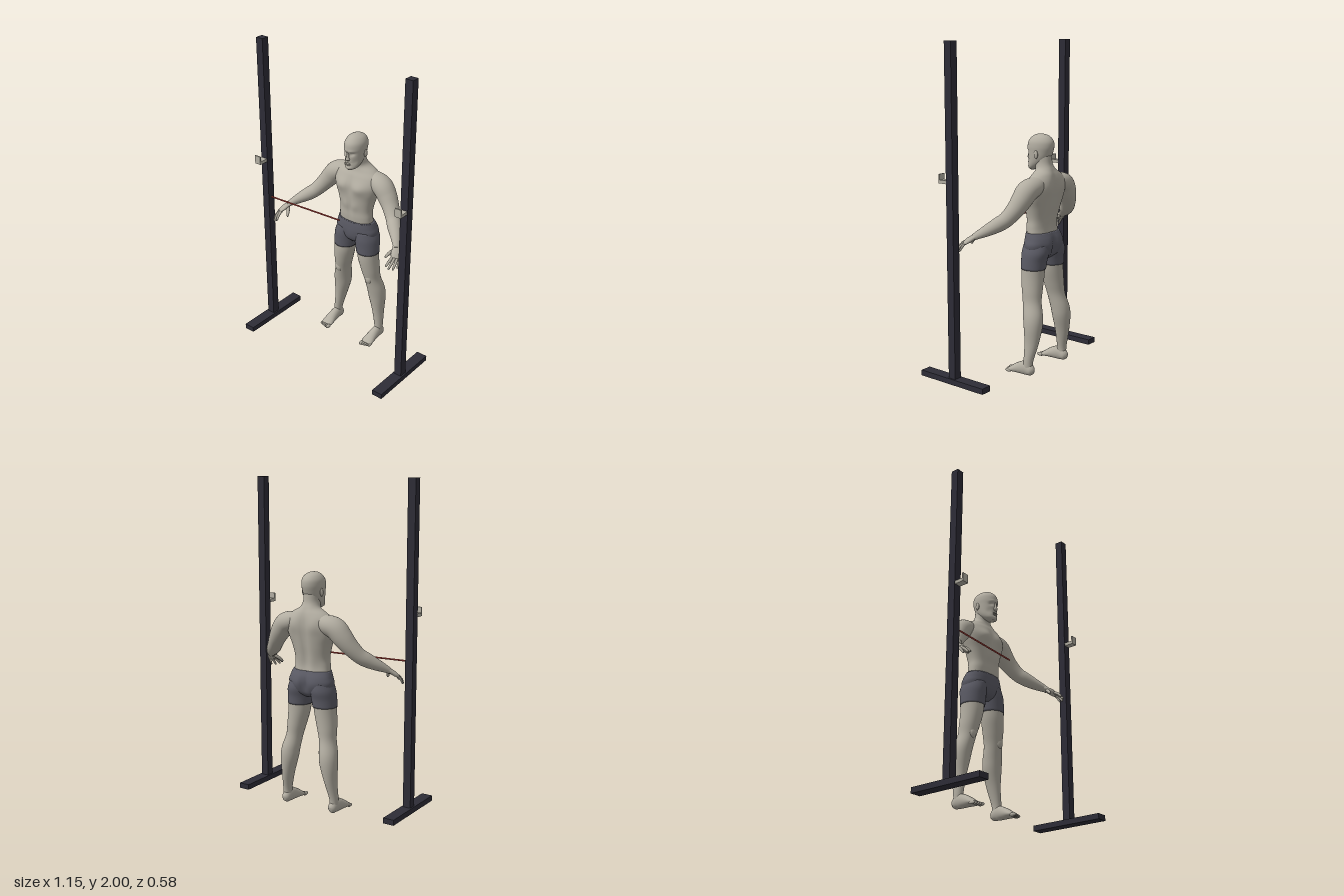
import * as THREE from 'three';

const mat = (name, color) => Object.assign(new THREE.MeshStandardMaterial({ color }), { name });
const V = (x, y, z) => new THREE.Vector3(x, y, z);
const Z = V(0, 0, 1), Y = V(0, 1, 0);

// Smooth skin through sections [x, y, z, radiusU, radiusV, squareness].
// level keeps rings horizontal (sections run upward); otherwise they follow the path.
function loft(sections, { level = false, ref = Z, seg = 24, steps = 5, shape } = {}) {
  const path = new THREE.CatmullRomCurve3(sections.map(s => V(s[0], s[1], s[2])), false, 'catmullrom');
  const size = new THREE.CatmullRomCurve3(sections.map(s => V(s[3], s[4], s[5] ?? 2)), false, 'catmullrom');
  const n = (sections.length - 1) * steps, pos = [], idx = [];
  const pow = (c, e) => Math.sign(c) * Math.abs(c) ** (2 / e);
  for (let i = 0; i <= n; i++) {
    const c = path.getPoint(i / n), r = size.getPoint(i / n);
    const t = level ? Y : path.getTangent(i / n);
    const u = t.clone().cross(ref).normalize(), v = u.clone().cross(t);
    for (let j = 0; j < seg; j++) {
      const a = j / seg * Math.PI * 2;
      const p = c.clone().addScaledVector(u, r.x * pow(Math.cos(a), r.z))
        .addScaledVector(v, r.y * pow(Math.sin(a), r.z));
      if (shape) shape(p, Math.sin(a));
      pos.push(p.x, p.y, p.z);
      if (i < n) {
        const k = i * seg + j, m = i * seg + (j + 1) % seg;
        idx.push(k, k + seg, m, m, k + seg, m + seg);
      }
    }
  }
  // end caps
  const a = path.getPoint(0), b = path.getPoint(1), A = pos.length / 3;
  pos.push(...a.toArray(), ...b.toArray());
  for (let j = 0; j < seg; j++) {
    const k = (j + 1) % seg;
    idx.push(A, j, k, A + 1, n * seg + k, n * seg + j);
  }
  const g = new THREE.BufferGeometry();
  g.setAttribute('position', new THREE.Float32BufferAttribute(pos, 3));
  g.setIndex(idx);
  g.computeVertexNormals();
  return g;
}

// Soft mirrored dents and swellings: [x, y, widthX, widthY, depth, side]
const sculpt = marks => (p, facing) => {
  const { x, y } = p;
  for (const [mx, my, wx, wy, d, side] of marks)
    p.z += side * d * Math.max(0, facing * side) *
      Math.exp(-(((Math.abs(x) - mx) / wx) ** 2) - ((y - my) / wy) ** 2);
};

// Level section from front and back depth
const slab = (y, rx, front, back, sq) => [0, y, (front + back) / 2, rx, (front - back) / 2, sq];

export function createModel() {
  const skin = mat('skin', 0xb2ada1), cloth = mat('shorts fabric', 0x5a5a64);
  const steel = mat('dark steel', 0x2e2d37), pad = mat('hook metal', 0xb4b0a4);
  const red = mat('red band', 0xb5443c);
  const root = new THREE.Group(), body = new THREE.Group(), rack = new THREE.Group();
  body.name = 'athlete';
  rack.name = 'rack';
  root.add(body, rack);

  const add = (parent, name, geo, material, x = 0, y = 0, z = 0) => {
    const m = new THREE.Mesh(geo, material);
    m.name = name;
    m.position.set(x, y, z);
    parent.add(m);
    return m;
  };
  const blob = (name, x, y, z, rx, ry, rz) =>
    add(body, name, new THREE.SphereGeometry(1, 16, 12), skin, x, y, z).scale.set(rx, ry, rz);

  // Torso and neck
  add(body, 'torso', loft([
    slab(0.85, 0.12, -0.122, -0.255, 2.3), slab(0.90, 0.117, -0.117, -0.25, 2.3),
    slab(0.95, 0.115, -0.116, -0.256, 2.3), slab(1.02, 0.131, -0.11, -0.272, 2.3),
    slab(1.08, 0.152, -0.108, -0.282, 2.4), slab(1.13, 0.162, -0.112, -0.287, 2.4),
    slab(1.18, 0.155, -0.13, -0.285, 2.2), slab(1.215, 0.118, -0.148, -0.278, 2),
    slab(1.245, 0.066, -0.153, -0.265, 2), slab(1.28, 0.05, -0.138, -0.25, 2),
    slab(1.33, 0.048, -0.13, -0.245, 2),
  ], {
    level: true, seg: 56, steps: 6, shape: sculpt([
      [0.07, 1.11, 0.05, 0.04, 0.016, 1], [0, 1.11, 0.014, 0.06, -0.008, 1],
      [0, 0.95, 0.01, 0.09, -0.006, 1], [0.035, 0.98, 0.025, 0.03, 0.005, 1],
      [0, 1.06, 0.022, 0.16, -0.014, -1], [0.075, 1.15, 0.04, 0.05, 0.01, -1],
      [0.045, 0.93, 0.03, 0.07, 0.006, -1],
    ]),
  }), skin);

  // Head with sculpted face
  add(body, 'head', loft([
    slab(1.236, 0.018, -0.097, -0.13), slab(1.25, 0.04, -0.09, -0.165),
    slab(1.275, 0.053, -0.09, -0.205), slab(1.31, 0.06, -0.092, -0.236),
    slab(1.35, 0.064, -0.089, -0.253), slab(1.38, 0.066, -0.087, -0.26),
    slab(1.41, 0.062, -0.094, -0.257), slab(1.435, 0.047, -0.116, -0.238),
    slab(1.449, 0.026, -0.14, -0.21), slab(1.455, 0.004, -0.172, -0.18),
  ], {
    level: true, seg: 48, steps: 6, shape: sculpt([
      [0.026, 1.345, 0.014, 0.011, -0.012, 1], [0.025, 1.364, 0.022, 0.008, 0.005, 1],
      [0.042, 1.29, 0.015, 0.02, -0.007, 1], [0, 1.285, 0.02, 0.005, -0.005, 1],
      [0, 1.265, 0.02, 0.006, -0.005, 1], [0, 1.25, 0.015, 0.01, 0.004, 1],
    ]),
  }), skin);
  add(body, 'nose', loft([
    [0, 1.3, -0.092, 0.01, 0.005], [0, 1.309, -0.089, 0.015, 0.012],
    [0, 1.325, -0.09, 0.009, 0.011], [0, 1.358, -0.094, 0.006, 0.008],
  ], { level: true, seg: 16 }), skin);
  blob('upperLip', 0, 1.28, -0.092, 0.02, 0.0045, 0.008);
  blob('lowerLip', 0, 1.271, -0.093, 0.017, 0.005, 0.008);

  // Shorts: seat with a cleft behind
  add(body, 'shortsSeat', loft([
    slab(0.705, 0.04, -0.15, -0.24), slab(0.735, 0.125, -0.125, -0.27, 2.3),
    slab(0.79, 0.15, -0.113, -0.284, 2.3), slab(0.83, 0.14, -0.112, -0.28, 2.3),
    slab(0.867, 0.126, -0.116, -0.261, 2.3),
  ], {
    level: true, seg: 48, steps: 6, shape: sculpt([
      [0, 0.78, 0.018, 0.06, -0.02, -1], [0.06, 0.78, 0.04, 0.04, 0.008, -1],
      [0, 0.76, 0.03, 0.04, 0.006, 1],
    ]),
  }), cloth);

  for (const s of [1, -1]) {
    const side = s > 0 ? 'left' : 'right';
    const mir = rows => rows.map(([x, ...r]) => [s * x, ...r]);

    blob(side + 'Ear', s * 0.065, 1.335, -0.185, 0.008, 0.025, 0.014);

    // Legs
    add(body, side + 'ShortsLeg', loft(mir([
      [0.091, 0.65, -0.19, 0.075, 0.077], [0.086, 0.70, -0.192, 0.077, 0.08],
      [0.08, 0.75, -0.197, 0.077, 0.086], [0.07, 0.80, -0.197, 0.068, 0.08],
    ]), { level: true, seg: 32 }), cloth);
    add(body, side + 'Leg', loft(mir([
      [0.172, 0.03, -0.215, 0.026, 0.032], [0.172, 0.09, -0.216, 0.027, 0.031],
      [0.157, 0.2, -0.228, 0.037, 0.046], [0.145, 0.3, -0.23, 0.054, 0.058],
      [0.137, 0.37, -0.223, 0.056, 0.062], [0.121, 0.45, -0.205, 0.051, 0.059],
      [0.11, 0.52, -0.196, 0.059, 0.065], [0.097, 0.6, -0.19, 0.067, 0.071],
      [0.091, 0.67, -0.19, 0.071, 0.073],
    ]), { level: true, seg: 32 }), skin);
    blob(side + 'Kneecap', s * 0.123, 0.46, -0.157, 0.026, 0.034, 0.018);

    // Foot and toes
    add(body, side + 'Foot', loft(mir([
      [0.172, 0.028, -0.254, 0.012, 0.016], [0.172, 0.033, -0.238, 0.026, 0.032],
      [0.172, 0.044, -0.2, 0.029, 0.044], [0.172, 0.034, -0.145, 0.034, 0.034],
      [0.171, 0.021, -0.1, 0.039, 0.02], [0.171, 0.014, -0.075, 0.035, 0.011],
    ]), { ref: Y, shape: p => { p.y = Math.max(p.y, 0.002); } }), skin);
    for (let i = 0; i < 5; i++)
      blob(side + 'Toe', s * (0.143 + i * 0.015), 0.012, -0.068 - 0.004 * i,
        i ? 0.0075 : 0.011, i ? 0.01 : 0.012, 0.024);

    // Arm from shoulder to wrist
    add(body, side + 'Arm', loft(mir([
      [0.07, 1.175, -0.22, 0.04, 0.045], [0.125, 1.155, -0.218, 0.058, 0.064],
      [0.18, 1.133, -0.21, 0.064, 0.068], [0.222, 1.085, -0.202, 0.061, 0.062],
      [0.262, 1.033, -0.185, 0.052, 0.054], [0.305, 0.98, -0.155, 0.045, 0.047],
      [0.34, 0.95, -0.122, 0.043, 0.045], [0.385, 0.918, -0.078, 0.033, 0.037],
      [0.425, 0.888, -0.032, 0.02, 0.025], [0.435, 0.878, -0.018, 0.016, 0.022],
    ]), { seg: 32 }), skin);

    // Hand
    const across = V(s * 0.7, -0.1, -0.7).normalize();
    add(body, side + 'Palm', loft(mir([
      [0.422, 0.89, -0.035, 0.017, 0.022], [0.437, 0.875, -0.012, 0.015, 0.027],
      [0.452, 0.857, 0.012, 0.014, 0.032], [0.463, 0.842, 0.032, 0.009, 0.028],
    ]), { ref: across }), skin);
    const digit = (name, a, m, b, r) => add(body, side + name, loft(mir([
      [...a, r, r], [...m, r, r], [...b, r * 0.75, r * 0.75],
      [b[0], b[1] - 0.003, b[2] + 0.003, r * 0.3, r * 0.3],
    ]), { ref: across, seg: 12 }), skin);
    digit('IndexFinger', [0.444, 0.85, 0.035], [0.442, 0.833, 0.065], [0.437, 0.81, 0.09], 0.0085);
    digit('MiddleFinger', [0.457, 0.846, 0.033], [0.46, 0.825, 0.065], [0.456, 0.799, 0.09], 0.0085);
    digit('RingFinger', [0.468, 0.842, 0.024], [0.476, 0.82, 0.052], [0.475, 0.793, 0.073], 0.008);
    digit('LittleFinger', [0.476, 0.845, 0.012], [0.485, 0.822, 0.03], [0.488, 0.797, 0.045], 0.007);
    digit('Thumb', [0.428, 0.872, -0.012], [0.408, 0.855, 0.012], [0.394, 0.832, 0.035], 0.0105);

    // Upright with foot and hook
    const box = (name, m, w, h, d, y, z) =>
      add(rack, side + name, new THREE.BoxGeometry(w, h, d), m, s * 0.54, y, z);
    box('Base', steel, 0.07, 0.034, 0.486, 0.017, 0.048);
    box('Upright', steel, 0.05, 1.966, 0.05, 1.017, 0.05);
    box('HookShelf', pad, 0.043, 0.02, 0.062, 1.206, 0.105);
    box('HookLip', pad, 0.043, 0.054, 0.008, 1.223, 0.132);
  }

  // Stretched band
  const a = V(-0.515, 0.935, 0.047), b = V(0.017, 0.935, 0.01);
  const band = add(root, 'resistanceBand', new THREE.CylinderGeometry(0.005, 0.005, a.distanceTo(b), 12), red,
    (a.x + b.x) / 2, 0.935, (a.z + b.z) / 2);
  band.quaternion.setFromUnitVectors(Y, b.clone().sub(a).normalize());
  return root;
}
